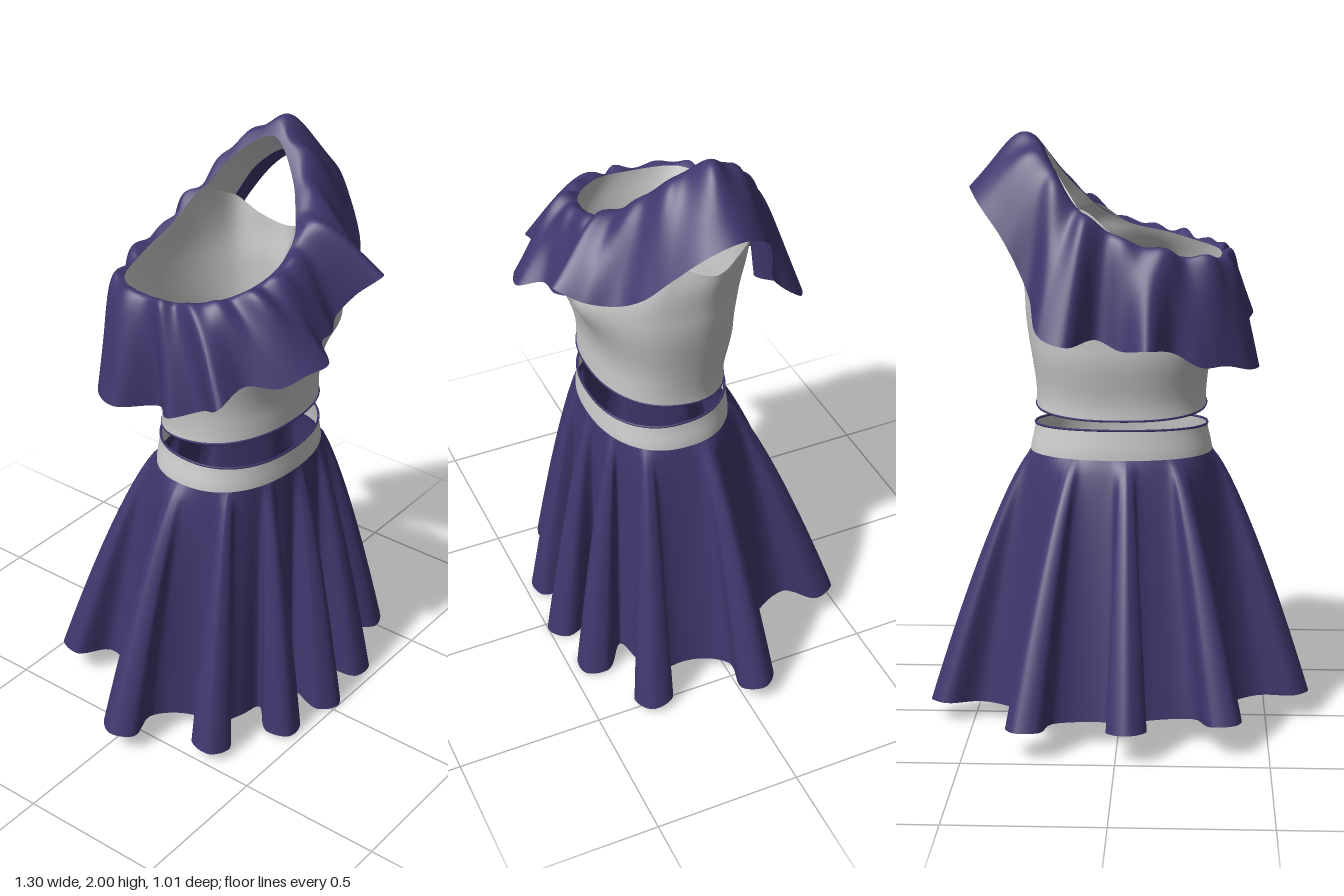
import * as THREE from 'three';

const V = (p) => new THREE.Vector3(...p);
const loop = (pts) => new THREE.CatmullRomCurve3(pts.map(V), true, 'centripetal');
const { lerp, smoothstep } = THREE.MathUtils;

const grey = new THREE.MeshStandardMaterial({ color: 0xcccccc, side: THREE.DoubleSide });
const purple = new THREE.MeshStandardMaterial({ color: 0x41376e, side: THREE.DoubleSide });

// Smooth grid surface from fn(u, v) -> Vector3; closed joins u = 1 back to u = 0
function surface(name, material, fn, nu, nv, closed = true) {
  const pos = [], index = [], cols = closed ? nu : nu + 1;
  for (let j = 0; j <= nv; j++)
    for (let i = 0; i < cols; i++) pos.push(...fn(i / nu, j / nv).toArray());
  for (let j = 0; j < nv; j++)
    for (let i = 0; i < nu; i++) {
      const a = j * cols + i, b = j * cols + (i + 1) % cols;
      index.push(a, a + cols, b, b, a + cols, b + cols);
    }
  const g = new THREE.BufferGeometry();
  g.setAttribute('position', new THREE.Float32BufferAttribute(pos, 3));
  g.setIndex(index);
  g.computeVertexNormals();
  const mesh = new THREE.Mesh(g, material);
  mesh.name = name;
  return mesh;
}

// Smoothed lookup in [y, value] pairs
function lookup(table, y) {
  for (let i = 1; i < table.length; i++) {
    const [y0, a] = table[i - 1], [y1, b] = table[i];
    if (y <= y1) return lerp(a, b, smoothstep(y, y0, y1));
  }
  return table[table.length - 1][1];
}
const halfWidth = [[0.93, 0.31], [1.04, 0.292], [1.12, 0.287], [1.45, 0.325], [1.6, 0.335]];
const frontZ = [[0.93, 0.315], [1.04, 0.308], [1.2, 0.308], [1.5, 0.365], [1.68, 0.31], [1.85, 0.24]];
const backZ = [[0.93, -0.155], [1.1, -0.14], [1.3, -0.17], [1.6, -0.2]];

// Torso cross-section: rounded oval at height y
function torso(angle, y) {
  const c = Math.cos(angle), s = Math.sin(angle);
  const f = lookup(frontZ, y), b = lookup(backZ, y), mid = (f + b) / 2;
  const p = new THREE.Vector3(
    lookup(halfWidth, y) * Math.sign(c) * Math.abs(c) ** 0.88, y,
    mid + (f - b) / 2 * Math.sign(s) * Math.abs(s) ** 0.88);
  if (s > 0) { // bust
    const d = ((Math.abs(p.x) - 0.14) / 0.09) ** 2 + ((y - 1.49) / 0.1) ** 2;
    p.z += 0.045 * Math.exp(-d) * s;
  }
  return p;
}
const torsoAngle = (p) => Math.atan2((p.z - 0.06) / 0.25, p.x / 0.33);

function edging(name, pointAt) {
  const pts = Array.from({ length: 64 }, (_, i) => pointAt(i / 64 * Math.PI * 2));
  const mesh = new THREE.Mesh(new THREE.TubeGeometry(
    new THREE.CatmullRomCurve3(pts, true), 128, 0.004, 6, true), purple);
  mesh.name = name;
  return mesh;
}

// Slanting one-shoulder neckline, from the right side round the front to the left shoulder and back
const neckPoints = [
  [-0.335, 1.61, 0.02], [-0.32, 1.62, 0.12], [-0.25, 1.635, 0.21], [-0.15, 1.66, 0.26], [-0.02, 1.69, 0.26],
  [0.1, 1.76, 0.22], [0.19, 1.86, 0.14], [0.25, 1.955, 0.02], [0.21, 1.89, -0.09],
  [0.13, 1.77, -0.17], [0, 1.68, -0.2], [-0.16, 1.63, -0.2], [-0.3, 1.61, -0.15]];

function bodice() {
  const group = new THREE.Group();
  group.name = 'bodice';
  // Top edge: neckline, then down and round the armhole
  const armhole = [[0.27, 1.7, 0.16], [0.31, 1.64, 0.09], [0.335, 1.61, 0],
    [0.31, 1.64, -0.08], [0.27, 1.7, -0.15]];
  const top = loop([...neckPoints.slice(0, 6), ...armhole, ...neckPoints.slice(9)]);
  const bottomY = (z) => 1.07 + 0.13 * (z + 0.14);
  group.add(surface('bodicePanel', grey, (u, v) => {
    const t = top.getPoint(u), a = torsoAngle(t);
    const y = lerp(bottomY(torso(a, 1.1).z), t.y, v);
    return torso(a, y).addScaledVector(t.clone().sub(torso(a, t.y)), v ** 4);
  }, 128, 40));
  group.add(edging('bodiceHem', (a) => {
    const p = torso(a, 1.1);
    return p.setY(bottomY(p.z));
  }));
  // Shoulder strap between neckline and armhole
  const inner = new THREE.CatmullRomCurve3(neckPoints.slice(5, 10).map(V));
  const outer = new THREE.CatmullRomCurve3([[0.27, 1.7, 0.16], [0.31, 1.81, 0.11],
    [0.34, 1.88, 0.01], [0.31, 1.81, -0.09], [0.27, 1.7, -0.15]].map(V));
  group.add(surface('shoulderStrap', grey, (u, v) => inner.getPoint(u).lerp(outer.getPoint(u), v), 32, 6, false));
  return group;
}

// Gathered ruffle hanging from the neckline to a wavy hem
function ruffle() {
  const neck = loop(neckPoints);
  const hem = loop([
    [-0.37, 1.25, 0.04], [-0.44, 1.27, 0.13], [-0.38, 1.3, 0.22], [-0.45, 1.38, 0.34],
    [-0.33, 1.41, 0.35], [-0.26, 1.4, 0.43], [-0.18, 1.43, 0.48], [-0.1, 1.44, 0.5],
    [-0.04, 1.47, 0.43], [0.03, 1.47, 0.42], [0.09, 1.49, 0.39], [0.14, 1.56, 0.43],
    [0.2, 1.62, 0.49], [0.27, 1.59, 0.42], [0.32, 1.58, 0.33], [0.39, 1.63, 0.27],
    [0.44, 1.71, 0.2], [0.49, 1.8, 0.1], [0.5, 1.83, 0], [0.46, 1.78, -0.1],
    [0.37, 1.66, -0.17], [0.29, 1.5, -0.22], [0.25, 1.38, -0.34], [0.16, 1.35, -0.38],
    [0.07, 1.36, -0.27], [-0.01, 1.33, -0.31], [-0.1, 1.34, -0.38], [-0.18, 1.32, -0.28],
    [-0.27, 1.27, -0.26], [-0.35, 1.27, -0.22], [-0.43, 1.25, -0.16], [-0.46, 1.25, -0.07]]);
  return surface('ruffle', purple, (u, v) => {
    const a = neck.getPoint(u), b = hem.getPoint(u);
    const out = new THREE.Vector3(b.x, 0, b.z - 0.04).normalize();
    const puff = Math.sin(Math.PI * Math.sqrt(v));
    const gather = (Math.sin(u * Math.PI * 34) * 0.6 + Math.sin(u * Math.PI * 22 + 1) * 0.4) * (1 - v);
    const lift = lerp(0.035, 0.065, smoothstep(a.y, 1.63, 1.9));
    const p = a.lerp(b, v).addScaledVector(out, puff * (0.025 + 0.014 * gather));
    p.y += puff * (lift + 0.018 * gather);
    return p;
  }, 320, 28);
}

// Flared skirt: the waist oval opens into ten deep rounded folds
function skirt() {
  const centre = new THREE.Vector3(0, 0, 0.05);
  const tips = [[0.65, -0.06], [0.55, 0.32], [0.28, 0.46], [0.03, 0.5], [-0.22, 0.47],
    [-0.49, 0.33], [-0.65, 0.03], [-0.39, -0.41], [-0.04, -0.51], [0.33, -0.48]]
    .map(([x, z]) => new THREE.Vector3(x, 0, z));
  const angles = tips.map((t) => Math.atan2((t.z - 0.05) / 0.5, t.x / 0.65));
  for (let i = 1; i < angles.length; i++) while (angles[i] < angles[i - 1]) angles[i] += Math.PI * 2;
  angles.push(angles[0] + Math.PI * 2);
  // Hem outline: tip, bulge and narrow neck of each fold, and the valley to the next
  const outline = [];
  const add = (t, back, across) => {
    const d = t.clone().sub(centre).normalize();
    outline.push(t.clone().addScaledVector(d, -back).add(new THREE.Vector3(-d.z, 0, d.x).multiplyScalar(across)));
  };
  tips.forEach((t, i) => {
    const next = tips[(i + 1) % tips.length];
    add(t, 0, 0);
    add(t, 0.05, 0.066);
    add(t, 0.17, 0.034);
    outline.push(t.clone().add(next).multiplyScalar(0.5).lerp(centre, 0.32));
    add(next, 0.17, -0.034);
    add(next, 0.05, -0.066);
  });
  const hem = new THREE.CatmullRomCurve3(outline, true, 'centripetal');
  return surface('skirt', purple, (u, v) => {
    const k = Math.floor(u * 10 + 1e-9), f = u * 10 - k;
    // Folds start narrow at the waist and widen downwards
    const spread = f - 0.12 * Math.sin(f * Math.PI * 2);
    const waist = torso(lerp(angles[k], angles[k + 1], spread), 0.94);
    const h = hem.getPoint(u);
    const y = lerp(waist.y, 0.062 - 0.1 * h.z + 0.05 * h.x ** 2 - 0.02 * h.x, v);
    return waist.lerp(h, v ** 0.77).setY(y);
  }, 360, 36);
}

export function createModel() {
  const model = new THREE.Group();
  model.name = 'outfit';
  const bandTop = (z) => 1.03 - 0.04 * (z - 0.08);
  model.add(bodice(), ruffle(), skirt());
  model.add(surface('waistband', grey, (u, v) => {
    const a = u * Math.PI * 2;
    return torso(a, lerp(0.935, bandTop(torso(a, 1).z), v));
  }, 96, 6));
  model.add(edging('waistbandEdge', (a) => torso(a, bandTop(torso(a, 1).z))));
  return model;
}
